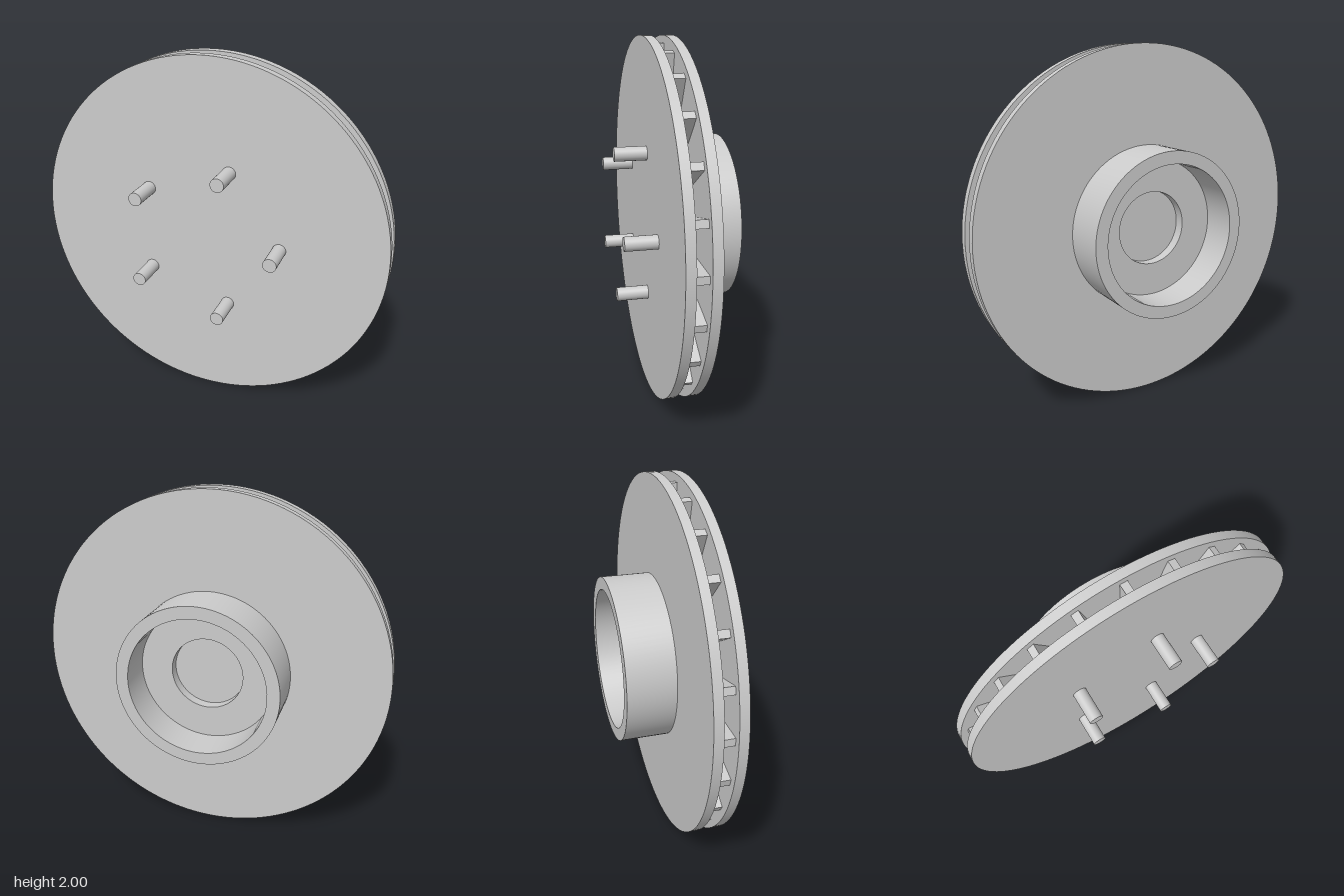
import * as THREE from 'three';
import { toCreasedNormals } from 'three/addons/utils/BufferGeometryUtils.js';

const material = new THREE.MeshStandardMaterial({ color: 0xcccccc });

export function createModel() {
  const model = new THREE.Group();
  model.name = 'ventilatedBrakeDisc';

  const add = (name, geometry) => {
    const mesh = new THREE.Mesh(geometry, material);
    mesh.name = name;
    model.add(mesh);
    return mesh;
  };

  // Solid cylinder along z between two depths
  const cylinder = (name, radius, z0, z1, segments, x = 0, y = 0) => {
    const geometry = new THREE.CylinderGeometry(radius, radius, z1 - z0, segments);
    geometry.rotateX(Math.PI / 2);
    return add(name, geometry).position.set(x, y, (z0 + z1) / 2);
  };

  // Two friction plates and the core that joins them
  cylinder('frontPlate', 1, 0.08, 0.13, 128);
  cylinder('backPlate', 1, -0.04, 0.01, 128);
  cylinder('core', 0.51, 0.01, 0.08, 96);

  // Radial cooling vanes in the gap
  const vaneCount = 24, vaneInner = 0.49, vaneOuter = 0.96;
  const vaneGeometry = new THREE.BoxGeometry(vaneOuter - vaneInner, 0.04, 0.07);
  vaneGeometry.translate((vaneInner + vaneOuter) / 2, 0, 0.045);
  for (let i = 0; i < vaneCount; i++) {
    add('coolingVane', vaneGeometry).rotation.z = (i / vaneCount) * Math.PI * 2;
  }

  // Hat: open cup at the back with a round recess in its floor (radius, z)
  const profile = [
    [0.207, -0.04], [0.207, -0.1], [0.39, -0.1],
    [0.39, -0.305], [0.46, -0.305], [0.46, -0.04],
  ].map(([r, z]) => new THREE.Vector2(r, z));
  const hat = new THREE.LatheGeometry(profile, 96);
  hat.rotateX(Math.PI / 2);
  add('hat', toCreasedNormals(hat, 0.5));

  // Five wheel studs on the front
  for (let i = 0; i < 5; i++) {
    const a = (i / 5) * Math.PI * 2;
    cylinder('wheelStud', 0.038, 0.1, 0.305, 32, 0.42 * Math.cos(a), 0.42 * Math.sin(a));
  }

  // Stand the disc on the ground
  model.children.forEach((part) => { part.position.y += 1; });
  return model;
}
